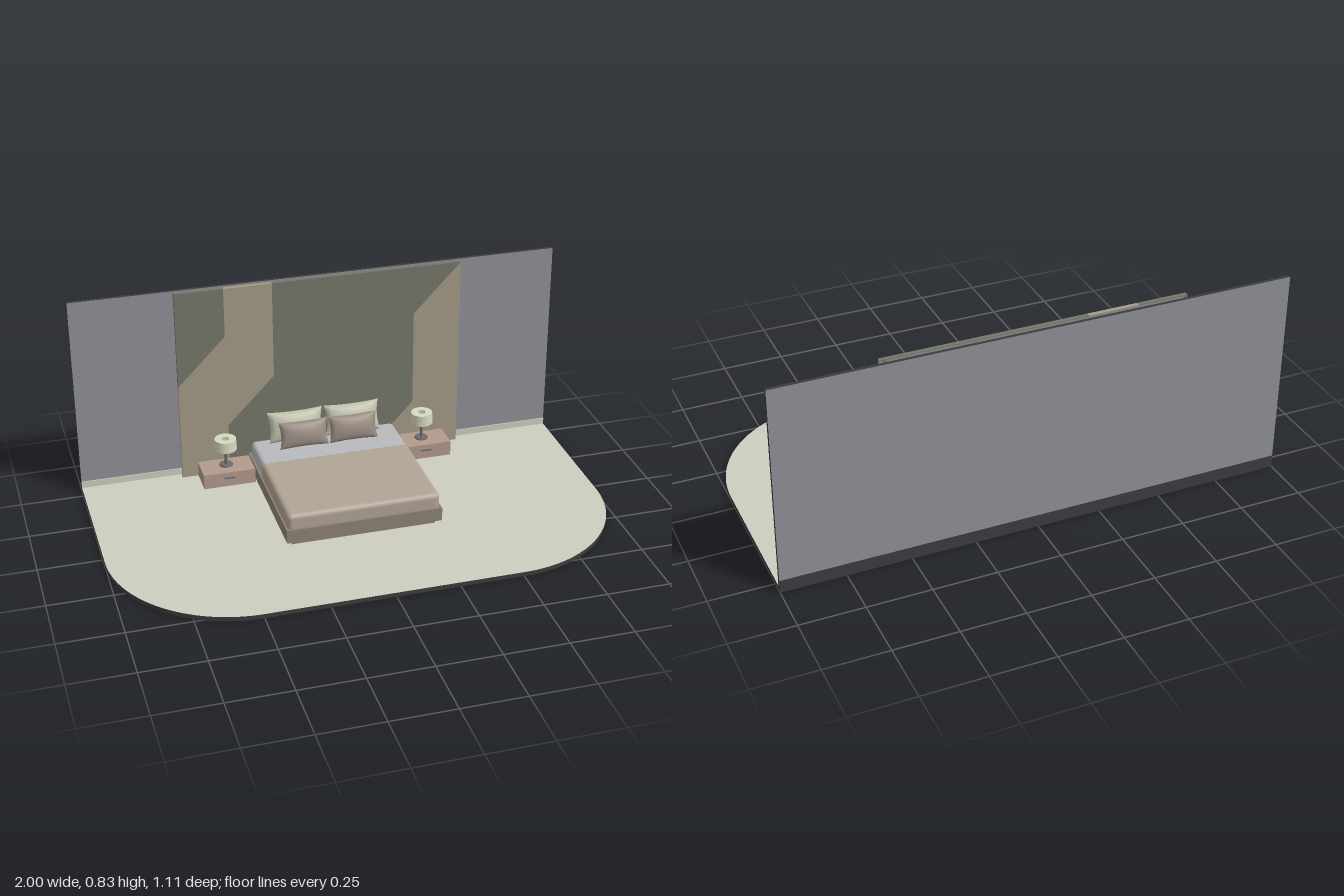
import * as THREE from 'three';
import { mergeGeometries } from 'three/addons/utils/BufferGeometryUtils.js';
import { RoundedBoxGeometry } from 'three/addons/geometries/RoundedBoxGeometry.js';

const mat = (color, side = THREE.FrontSide) => new THREE.MeshStandardMaterial({ color, side });
const M = {
  floor: mat(0xcdcebf), edge: mat(0x3c3c3e), wall: mat(0x8f8f97), backing: mat(0x77777a),
  panelDark: mat(0x75766a), panelLight: mat(0xa49b86), frame: mat(0x8d8375), sheet: mat(0xb8b9bd),
  blanket: mat(0xb1a495), wood: mat(0xb39a8b), metal: mat(0x6b6b6b), shade: mat(0xd6d8bf, THREE.DoubleSide),
  pillowFront: mat(0x978a80), pillowBack: mat(0xbdbfa9),
};

function add(parent, name, geometry, material, x = 0, y = 0, z = 0) {
  const mesh = new THREE.Mesh(geometry, material);
  mesh.name = name;
  mesh.position.set(x, y, z);
  parent.add(mesh);
  return mesh;
}

// Box given by its minimum and maximum on each axis
function box(parent, name, material, [x0, x1], [y0, y1], [z0, z1], radius = 0) {
  const s = [x1 - x0, y1 - y0, z1 - z0];
  const geo = radius ? new RoundedBoxGeometry(...s, 5, radius) : new THREE.BoxGeometry(...s);
  return add(parent, name, geo, material, (x0 + x1) / 2, (y0 + y1) / 2, (z0 + z1) / 2);
}

// Soft pillow: two domed sheets joined at a pinched outline with pointed corners
function pillowGeometry(w, h, t) {
  const front = new THREE.PlaneGeometry(2, 2, 24, 24);
  const p = front.attributes.position;
  for (let i = 0; i < p.count; i++) {
    const u = p.getX(i), v = p.getY(i);
    const dome = Math.pow(Math.max(0, (1 - u * u) * (1 - v * v)), 0.45);
    p.setXYZ(i,
      u * w / 2 * (1 - 0.08 * (1 - v * v)),
      v * h / 2 * (1 - 0.08 * (1 - u * u)),
      dome * t / 2);
  }
  front.computeVertexNormals();
  return mergeGeometries([front, front.clone().rotateY(Math.PI)]);
}

function buildFloor(g) {
  const r = 0.5, s = new THREE.Shape();
  s.moveTo(-1, 0.55);
  s.lineTo(-1, -0.55 + r);
  s.absarc(-1 + r, -0.55 + r, r, Math.PI, Math.PI * 1.5, false);
  s.lineTo(1 - r, -0.55);
  s.absarc(1 - r, -0.55 + r, r, -Math.PI / 2, 0, false);
  s.lineTo(1, 0.55);
  s.closePath();
  const geo = new THREE.ExtrudeGeometry(s, { depth: 0.018, bevelEnabled: false, curveSegments: 32 });
  add(g, 'floor', geo.rotateX(-Math.PI / 2), [M.floor, M.edge]);
}

function buildWall(g) {
  const { edge, wall } = M;
  box(g, 'wall', [edge, edge, edge, edge, wall, wall], [-1, 1], [0, 0.835], [-0.553, -0.539]);
  box(g, 'rearBaseBand', edge, [-1, 1], [0, 0.05], [-0.555, -0.553]);
  box(g, 'skirting', M.floor, [-1, 1], [0.018, 0.045], [-0.539, -0.535]);
  box(g, 'panelBacking', M.backing, [-0.57, 0.57], [0.018, 0.832], [-0.539, -0.522]);

  // Two-tone headboard panels cut on diagonals
  const b = 0.018, t = 0.835, a = 0.59, c = 0.393, d = 0.197;
  const panels = [
    ['leftUpperPanel', M.panelDark, [[-a, 0.43], [-c, 0.63], [-c, t], [-a, t]]],
    ['leftLightPanel', M.panelLight,
      [[-a, b], [-c, b], [-c, 0.23], [-d, 0.43], [-d, t], [-c, t], [-c, 0.63], [-a, 0.43]]],
    ['centrePanel', M.panelDark,
      [[-c, b], [d, b], [c, 0.23], [c, 0.63], [a, t], [-d, t], [-d, 0.43], [-c, 0.23]]],
    ['rightLightPanel', M.panelLight, [[d, b], [a, b], [a, t], [c, 0.63], [c, 0.23]]],
  ];
  for (const [name, material, pts] of panels) {
    const shape = new THREE.Shape(pts.map(([x, y]) => new THREE.Vector2(x, y)));
    add(g, name, new THREE.ExtrudeGeometry(shape, { depth: 0.016, bevelEnabled: false }), material, 0, 0, -0.522);
  }
}

function buildBed(g) {
  const bed = new THREE.Group();
  bed.name = 'bed';
  g.add(bed);
  box(bed, 'plinth', M.frame, [-0.29, 0.29], [0.018, 0.038], [-0.5, 0.118]);
  box(bed, 'bedFrame', M.frame, [-0.312, 0.312], [0.037, 0.092], [-0.505, 0.138]);
  box(bed, 'mattress', M.sheet, [-0.303, 0.303], [0.075, 0.15], [-0.498, 0.1], 0.018);
  box(bed, 'blanket', M.blanket, [-0.306, 0.306], [0.075, 0.153], [-0.302, 0.131], 0.02);

  const small = pillowGeometry(0.205, 0.112, 0.056);
  const large = pillowGeometry(0.232, 0.128, 0.062);
  for (const side of [-1, 1]) {
    add(bed, 'frontPillow', small, M.pillowFront, side * 0.104, 0.206, -0.4).rotation.x = -0.3;
    add(bed, 'backPillow', large, M.pillowBack, side * 0.12, 0.213, -0.467).rotation.x = -0.3;
  }
}

function buildNightstand(g, side) {
  const stand = new THREE.Group();
  stand.name = side > 0 ? 'leftNightstand' : 'rightNightstand';
  stand.position.x = side * 0.418;
  g.add(stand);
  box(stand, 'cabinet', M.wood, [-0.107, 0.107], [0.018, 0.08], [-0.508, -0.387]);
  box(stand, 'drawerHandle', M.metal, [-0.022, 0.022], [0.054, 0.059], [-0.387, -0.38]);

  // Table lamp with an open drum shade
  const z = -0.455;
  add(stand, 'lampBase', new THREE.CylinderGeometry(0.026, 0.028, 0.006, 32), M.metal, 0, 0.083, z);
  add(stand, 'lampStem', new THREE.CylinderGeometry(0.006, 0.006, 0.08, 16), M.metal, 0, 0.125, z);
  add(stand, 'lampBulb', new THREE.SphereGeometry(0.013, 20, 14), M.metal, 0, 0.174, z);
  add(stand, 'lampShade', new THREE.CylinderGeometry(0.044, 0.046, 0.046, 40, 1, true), M.shade, 0, 0.177, z);
  add(stand, 'shadeTop', new THREE.RingGeometry(0.016, 0.044, 40).rotateX(-Math.PI / 2), M.shade, 0, 0.2, z);
}

export function createModel() {
  const g = new THREE.Group();
  g.name = 'bedroom';
  buildFloor(g);
  buildWall(g);
  buildBed(g);
  for (const side of [-1, 1]) buildNightstand(g, side);
  return g;
}
